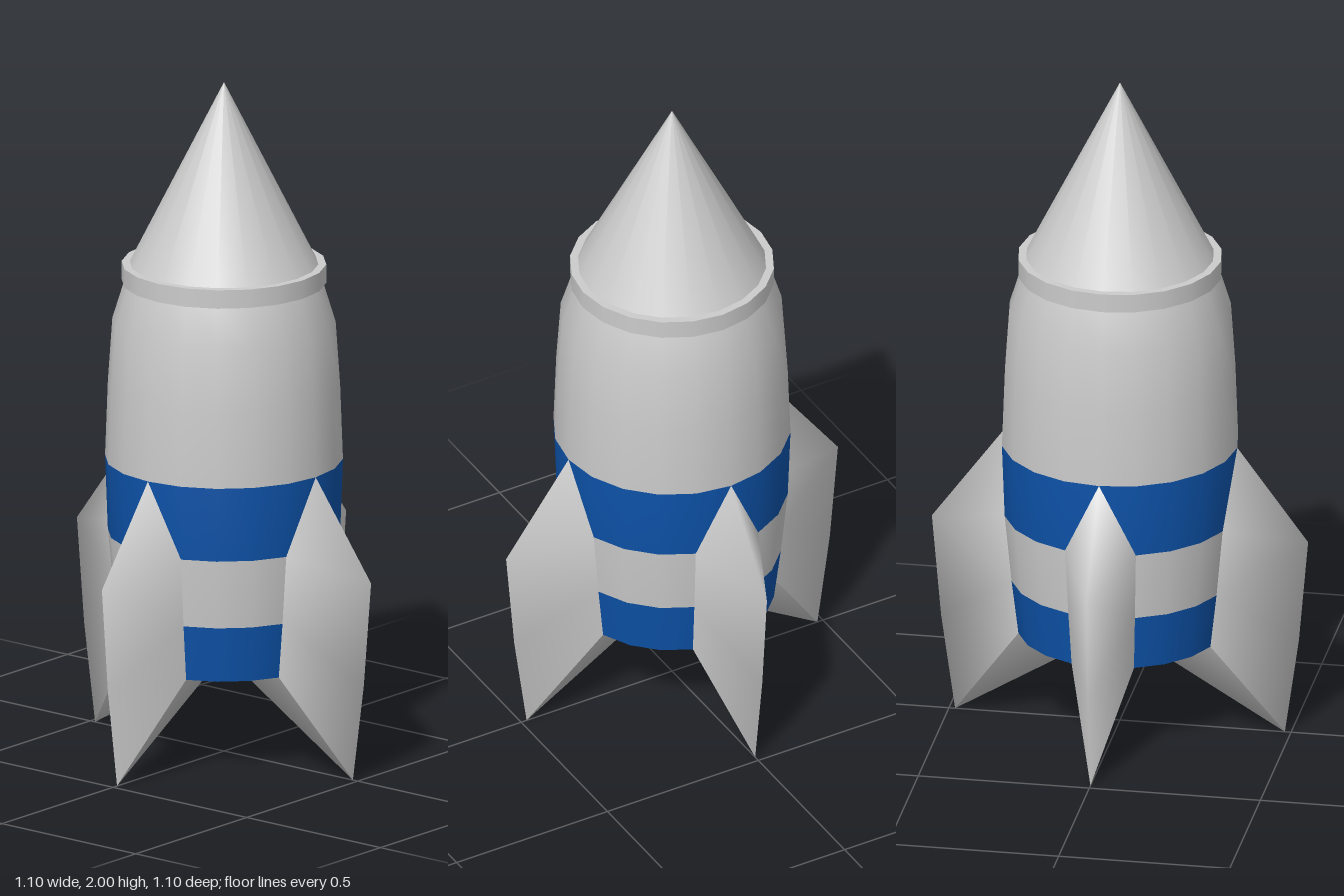
import * as THREE from 'three';

const SIDES = 20;
const STEP = (Math.PI * 2) / SIDES;

// hull profile [radius, height], bottom to top
const HULL = [[0.295, 0.29], [0.315, 0.455], [0.335, 0.66], [0.343, 0.88], [0.335, 1.1], [0.322, 1.29], [0.285, 1.41]];
const BLUE_ROWS = [0, 2];

const grey = new THREE.MeshStandardMaterial({ color: 0xcccccc });
const blue = new THREE.MeshStandardMaterial({ color: 0x0d52a8 });

function addMesh(parent, name, geometry, material = grey) {
  const mesh = new THREE.Mesh(geometry, material);
  mesh.name = name;
  parent.add(mesh);
  return mesh;
}

function lathe(profile) {
  return new THREE.LatheGeometry(profile.map(([r, y]) => new THREE.Vector2(r, y)), SIDES);
}

// keep only some rows of the hull, so that the normals stay continuous across colours
function hullRows(full, keep) {
  const geometry = full.clone();
  const rows = HULL.length - 1;
  const source = full.index.array;
  const index = [];
  for (let quad = 0; quad < source.length / 6; quad++) {
    if (keep(quad % rows)) index.push(...source.slice(quad * 6, quad * 6 + 6));
  }
  geometry.setIndex(index);
  return geometry;
}

function smoothGeometry(points, index) {
  const geometry = new THREE.BufferGeometry();
  geometry.setAttribute('position', new THREE.Float32BufferAttribute(points.flat(), 3));
  geometry.setIndex(index);
  geometry.computeVertexNormals();
  return geometry;
}

// wedge-shaped fin pointing along +x
function createFin() {
  const fin = new THREE.Group();
  const root = (side) => [2, 1, 0].map((i) => {
    const [r, y] = HULL[i];
    return [r * Math.cos(STEP), y, side * r * Math.sin(STEP)];
  });
  const apex = [HULL[3][0], HULL[3][1], 0];
  const tip = [0.482, 0, 0];
  const left = root(1);
  const right = root(-1);

  // 0 apex, 1-3 outer edge, 4-6 one root, 7-9 the other
  const half = [[0, 4, 1], [4, 5, 1], [5, 2, 1], [5, 6, 2], [6, 3, 2]];
  const mirrored = half.map((face) => face.map((i) => (i > 3 ? i + 3 : i)).reverse());
  addMesh(fin, 'finSides', smoothGeometry(
    [apex, [0.55, 0.6, 0], [0.523, 0.29, 0], tip, ...left, ...right],
    [...half, ...mirrored].flat()
  ));

  // underside: a ridge running from the tip to the axis
  addMesh(fin, 'finUnderside', smoothGeometry(
    [[0, 0.29, 0], tip, left[2], right[2]],
    [0, 1, 2, 0, 3, 1]
  ));
  return fin;
}

export function createModel() {
  const model = new THREE.Group();
  model.name = 'rocket';

  // hull and its two coloured bands
  const full = lathe(HULL);
  addMesh(model, 'hull', hullRows(full, (row) => !BLUE_ROWS.includes(row)));
  addMesh(model, 'lowerBand', hullRows(full, (row) => row === 0), blue);
  addMesh(model, 'upperBand', hullRows(full, (row) => row === 2), blue);

  // flat base of the hull
  const base = addMesh(model, 'hullBase', new THREE.CircleGeometry(HULL[0][0], SIDES));
  base.rotation.x = Math.PI / 2;
  base.position.y = HULL[0][1];

  // collar under the nose
  const collar = addMesh(model, 'collar', new THREE.CylinderGeometry(0.295, 0.295, 0.055, SIDES));
  collar.position.y = 1.4325;

  // nose cone
  const nose = addMesh(model, 'noseCone', new THREE.ConeGeometry(0.272, 0.54, SIDES, 1, true));
  nose.position.y = 1.73;

  // four fins
  for (let i = 0; i < 4; i++) {
    const fin = createFin();
    fin.name = 'fin' + (i + 1);
    fin.rotation.y = (i * Math.PI) / 2;
    model.add(fin);
  }
  return model;
}
